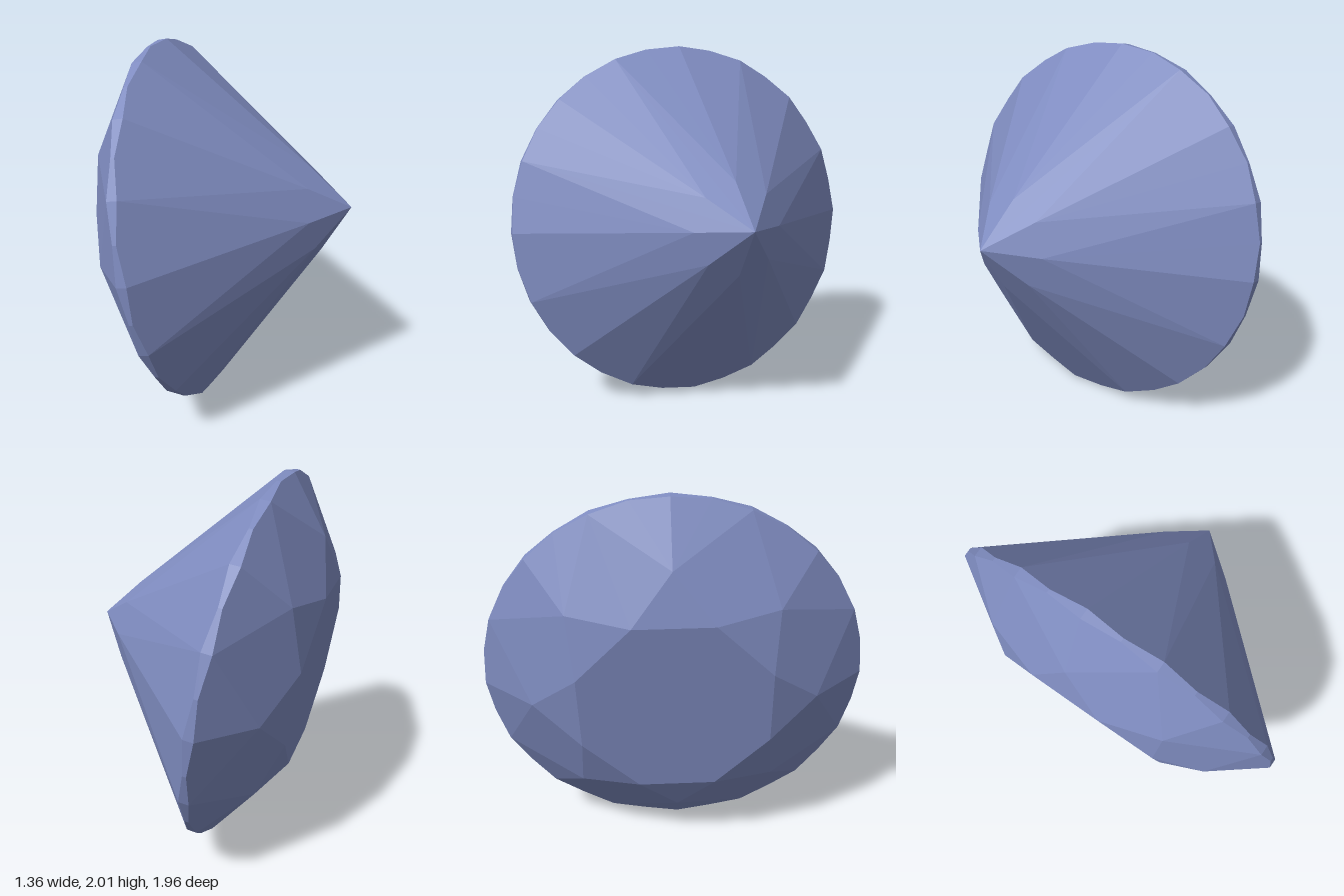
import * as THREE from 'three';

// Brilliant cut: local +y points from the culet to the table
const R = 1.013;            // girdle radius
const TABLE_R = 0.53, STAR_R = 0.735, PAV_R = 0.235;
const CULET_Y = -0.893, LOW_Y = 0, UP_Y = 0.053, TABLE_Y = 0.366;
const STEP = Math.PI / 4, HALF = STEP / 2, QUARTER = STEP / 4;
const TURN = THREE.MathUtils.degToRad(23.5);

// Heights that keep the kite facets flat
const starY = UP_Y + (TABLE_Y - UP_Y) * (R - STAR_R * Math.cos(HALF)) / (R - TABLE_R);
const pavY = CULET_Y * (1 - PAV_R * Math.cos(HALF) / R);

// Bulge of the half facets where they meet the round girdle
const c = Math.cos(QUARTER);
const upMidY = UP_Y - R * (1 - c) * (starY - UP_Y) / ((R - STAR_R) * c);
const lowMidY = LOW_Y + R * (1 - c) * (LOW_Y - pavY) / ((R - PAV_R) * c);

const polar = (r, y, a) =>
  new THREE.Vector3(r * Math.cos(a + TURN), y, -r * Math.sin(a + TURN));

// Flat facets as triangle fans, each turned to face away from the middle
function facetMesh(name, facets, material) {
  const pos = [];
  const inside = new THREE.Vector3(0, 0.02, 0);
  for (const f of facets) {
    for (let i = 1; i < f.length - 1; i++) {
      const [p, q, r] = [f[0], f[i], f[i + 1]];
      const n = q.clone().sub(p).cross(r.clone().sub(p));
      const outward = n.dot(p.clone().sub(inside)) > 0;
      for (const v of outward ? [p, q, r] : [p, r, q]) pos.push(v.x, v.y, v.z);
    }
  }
  const geo = new THREE.BufferGeometry();
  geo.setAttribute('position', new THREE.Float32BufferAttribute(pos, 3));
  geo.computeVertexNormals();
  const mesh = new THREE.Mesh(geo, material);
  mesh.name = name;
  return mesh;
}

export function createModel() {
  const material = new THREE.MeshStandardMaterial({ color: 0x7f8cc0, flatShading: true });
  const table = [], stars = [], kites = [], upperHalves = [];
  const girdle = [], lowerHalves = [], pavilion = [];
  const culet = new THREE.Vector3(0, CULET_Y, 0);

  for (let i = 0; i < 8; i++) {
    const a = i * STEP;
    const corner = polar(TABLE_R, TABLE_Y, a);
    const star = polar(STAR_R, starY, a + HALF);
    const pav = polar(PAV_R, pavY, a + HALF);
    table.push(corner);
    stars.push([corner, star, polar(TABLE_R, TABLE_Y, a + STEP)]);
    kites.push([corner, polar(STAR_R, starY, a - HALF), polar(R, UP_Y, a), star]);
    pavilion.push([culet, polar(PAV_R, pavY, a - HALF), polar(R, LOW_Y, a), pav]);

    // Two half facets above and below, with the scalloped girdle between
    for (const b of [a, a + HALF]) {
      const up = [polar(R, UP_Y, b), polar(R, upMidY, b + QUARTER), polar(R, UP_Y, b + HALF)];
      const low = [polar(R, LOW_Y, b), polar(R, lowMidY, b + QUARTER), polar(R, LOW_Y, b + HALF)];
      upperHalves.push([star, ...up]);
      lowerHalves.push([pav, ...low]);
      for (const k of [0, 1]) girdle.push([low[k], low[k + 1], up[k + 1], up[k]]);
    }
  }

  const gem = new THREE.Group();
  gem.name = 'gem';
  gem.add(
    facetMesh('table', [table], material),
    facetMesh('starFacets', stars, material),
    facetMesh('crownKites', kites, material),
    facetMesh('upperHalfFacets', upperHalves, material),
    facetMesh('girdle', girdle, material),
    facetMesh('lowerHalfFacets', lowerHalves, material),
    facetMesh('pavilionFacets', pavilion, material)
  );

  // Tilt the stone so the culet points to the left side
  const down = new THREE.Vector3(0.948, 0.163, -0.27).normalize();
  const yAxis = down.clone().negate();
  const xAxis = new THREE.Vector3(0, 1, 0).addScaledVector(down, -down.y).normalize();
  const zAxis = xAxis.clone().cross(yAxis);
  gem.quaternion.setFromRotationMatrix(new THREE.Matrix4().makeBasis(xAxis, yAxis, zAxis));
  gem.position.set(-0.177, 1, 0);

  const model = new THREE.Group();
  model.name = 'cutGem';
  model.add(gem);
  return model;
}
